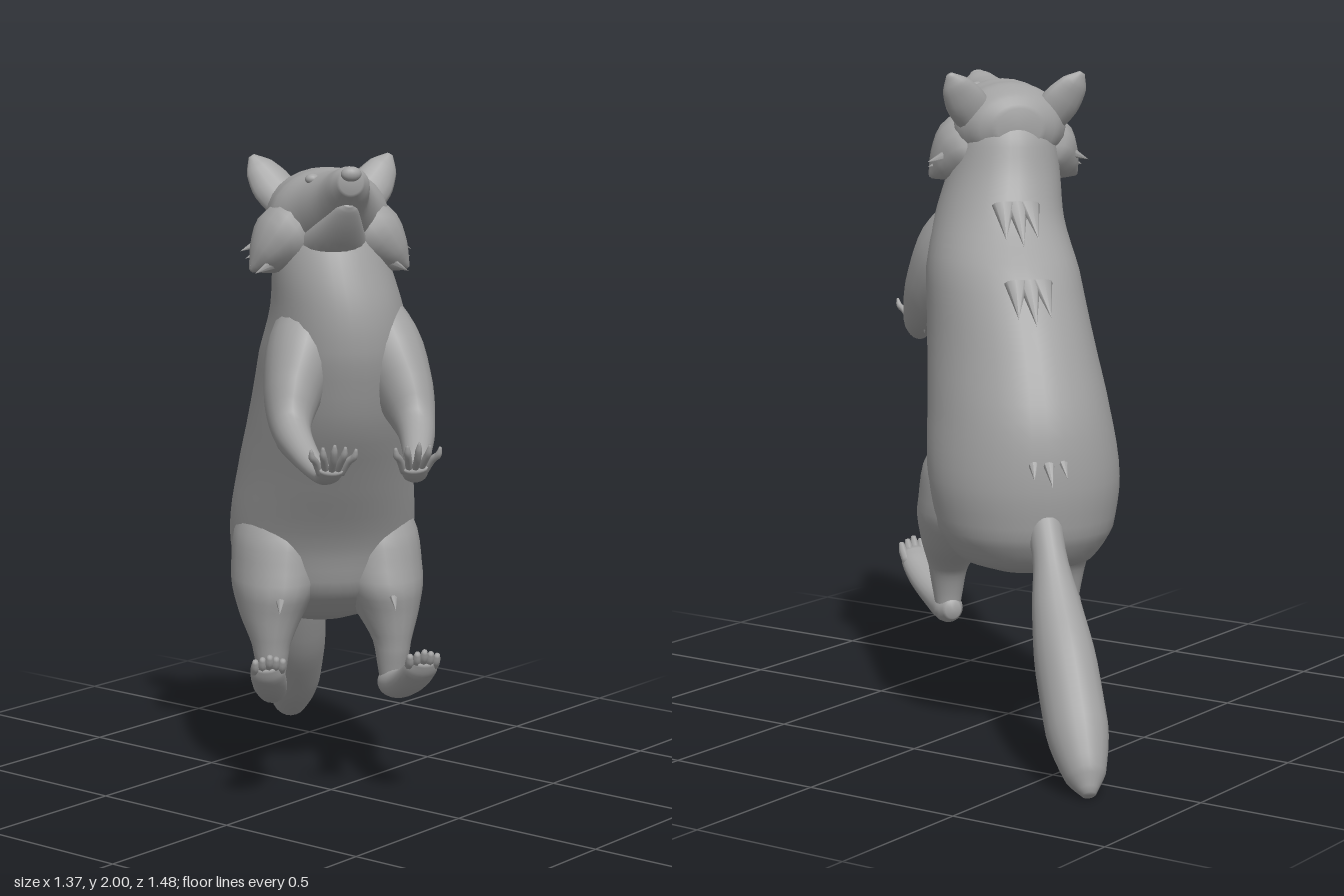
import * as THREE from 'three';

const V = (x, y, z) => new THREE.Vector3(x, y, z);
const fur = new THREE.MeshStandardMaterial({ color: 0xa3a3a3 });
fur.name = 'grey fur';

// Smooth closed loft through rings [x, y, z, half width, half depth].
// With a fixed axis all sections stay parallel; otherwise they follow the path.
function loft(rings, { sides = 20, steps = 4, axis = null } = {}) {
  const path = new THREE.CatmullRomCurve3(rings.map(r => V(r[0], r[1], r[2])));
  const size = new THREE.CatmullRomCurve3(rings.map(r => V(r[3], r[4], 0)));
  const n = (rings.length - 1) * steps;
  const pos = [], index = [];
  for (let i = 0; i <= n; i++) {
    const c = path.getPoint(i / n), r = size.getPoint(i / n);
    const t = axis ? axis.clone().normalize() : path.getTangent(i / n);
    const u = V(1, 0, 0).addScaledVector(t, -t.x).normalize();
    const v = t.clone().cross(u);
    for (let j = 0; j < sides; j++) {
      const a = (j / sides) * Math.PI * 2;
      const p = c.clone()
        .addScaledVector(u, Math.cos(a) * Math.max(r.x, 0.001))
        .addScaledVector(v, Math.sin(a) * Math.max(r.y, 0.001));
      pos.push(p.x, p.y, p.z);
      if (i < n) {
        const k = (j + 1) % sides, o = i * sides;
        index.push(o + j, o + k, o + sides + j, o + k, o + sides + k, o + sides + j);
      }
    }
  }
  // end caps
  const first = rings[0], last = rings[rings.length - 1], o = n * sides, m = pos.length / 3;
  pos.push(first[0], first[1], first[2], last[0], last[1], last[2]);
  for (let j = 0; j < sides; j++) {
    const k = (j + 1) % sides;
    index.push(m, k, j, m + 1, o + j, o + k);
  }
  const g = new THREE.BufferGeometry();
  g.setAttribute('position', new THREE.Float32BufferAttribute(pos, 3));
  g.setIndex(index);
  g.computeVertexNormals();
  return g;
}

function add(parent, name, geometry) {
  const mesh = new THREE.Mesh(geometry, fur);
  mesh.name = name;
  parent.add(mesh);
  return mesh;
}

// Flattened pointed lock of hair from a to b
function tuft(parent, name, a, b, width) {
  const dir = b.clone().sub(a);
  const mesh = add(parent, name, new THREE.ConeGeometry(width, dir.length(), 8));
  mesh.position.copy(a).addScaledVector(dir, 0.5);
  mesh.quaternion.setFromUnitVectors(V(0, 1, 0), dir.normalize());
  mesh.scale.z = 0.5;
}

function ball(parent, name, x, y, z, rx, ry, rz) {
  const mesh = add(parent, name, new THREE.SphereGeometry(1, 16, 12));
  mesh.position.set(x, y, z);
  mesh.scale.set(rx, ry, rz);
}

export function createModel() {
  const model = new THREE.Group();
  model.name = 'standing furry animal';
  const animal = new THREE.Group(); // here +z is the way the animal faces
  animal.name = 'animal';
  animal.rotation.y = -0.734;
  model.add(animal);

  // Leaning torso and neck, built from level sections, widest at the hips
  add(animal, 'torso', loft([
    [0, 0.52, -0.23, 0.1, 0.1], [0, 0.555, -0.23, 0.2, 0.2],
    [0, 0.65, -0.21, 0.268, 0.285], [0, 0.8, -0.195, 0.29, 0.318],
    [0, 1.0, -0.125, 0.272, 0.365], [0, 1.2, -0.018, 0.248, 0.374],
    [0, 1.4, 0.085, 0.23, 0.338], [-0.01, 1.55, 0.17, 0.198, 0.26],
    [-0.03, 1.68, 0.195, 0.175, 0.205], [-0.04, 1.8, 0.19, 0.15, 0.16],
    [-0.04, 1.88, 0.18, 0.1, 0.1],
  ], { sides: 36, axis: V(0, 1, 0) }));

  // Bushy tail
  add(animal, 'tail', loft([
    [0, 0.76, -0.4, 0.06, 0.07], [0, 0.62, -0.51, 0.05, 0.055],
    [0, 0.48, -0.6, 0.072, 0.08], [0, 0.32, -0.72, 0.09, 0.108],
    [0, 0.17, -0.84, 0.09, 0.103], [0, 0.06, -0.935, 0.06, 0.068],
    [0, 0.015, -0.978, 0.02, 0.02],
  ]));

  // Head, carried slightly to one side
  const head = new THREE.Group();
  head.name = 'head';
  head.position.x = -0.045;
  animal.add(head);
  add(head, 'skull and muzzle', loft([
    [0, 1.83, 0.045, 0.07, 0.06], [0, 1.83, 0.085, 0.135, 0.105],
    [0, 1.825, 0.16, 0.175, 0.14], [0, 1.825, 0.25, 0.178, 0.145],
    [0.005, 1.855, 0.33, 0.125, 0.112], [0.015, 1.895, 0.41, 0.078, 0.08],
    [0.025, 1.93, 0.465, 0.06, 0.058], [0.025, 1.945, 0.5, 0.035, 0.036],
  ], { sides: 28, axis: V(0, 0, 1) }));
  add(head, 'lower jaw', loft([
    [0, 1.73, 0.24, 0.13, 0.1], [0.005, 1.77, 0.33, 0.095, 0.065],
    [0.015, 1.825, 0.405, 0.058, 0.04], [0.022, 1.868, 0.452, 0.03, 0.02],
    [0.024, 1.88, 0.465, 0.012, 0.01],
  ]));
  ball(head, 'nose', 0.025, 1.968, 0.5, 0.03, 0.022, 0.02);

  for (const s of [-1, 1]) {
    const side = s > 0 ? 'left' : 'right';
    const P = (x, y, z) => V(s * x, y, z);
    const mirrored = (rings, opts) => loft(rings.map(([x, ...r]) => [s * x, ...r]), opts);

    // Eye, ear and ruffled cheek
    ball(head, side + ' eye', s * 0.064, 1.943, 0.345, 0.022, 0.016, 0.018);
    add(head, side + ' ear', mirrored([
      [0.1, 1.84, 0.15, 0.06, 0.045], [0.15, 1.905, 0.12, 0.064, 0.036],
      [0.188, 1.96, 0.1, 0.045, 0.024], [0.21, 1.995, 0.09, 0.01, 0.007],
    ], { sides: 14 }));
    add(head, side + ' cheek', mirrored([
      [0.03, 1.81, 0.2, 0.09, 0.12], [0.125, 1.765, 0.23, 0.1, 0.125],
      [0.195, 1.705, 0.25, 0.058, 0.075], [0.235, 1.67, 0.26, 0.008, 0.01],
    ], { sides: 14 }));
    for (let i = 0; i < 4; i++) {
      tuft(head, side + ' cheek tuft', P(0.14, 1.77 - i * 0.02, 0.16 + i * 0.04),
        P(0.258 - i * 0.01, 1.72 - i * 0.018, 0.19 + i * 0.04), 0.035);
    }

    // Reaching arm
    add(animal, side + ' arm', mirrored([
      [0.06, 1.54, 0.16, 0.1, 0.13], [0.12, 1.43, 0.25, 0.112, 0.145],
      [0.17, 1.3, 0.345, 0.085, 0.115], [0.185, 1.22, 0.43, 0.058, 0.07],
      [0.165, 1.165, 0.56, 0.042, 0.042], [0.135, 1.13, 0.69, 0.031, 0.027],
      [0.125, 1.135, 0.745, 0.036, 0.022], [0.12, 1.16, 0.78, 0.036, 0.015],
    ]));
    for (let i = 0; i < 5; i++) {
      const k = i - 2, x = 0.12 + k * 0.015, back = Math.abs(k);
      add(animal, side + ' finger', mirrored([
        [x, 1.145, 0.762, 0.011, 0.011],
        [x + k * 0.009, 1.185, 0.808 - back * 0.008, 0.0105, 0.0105],
        [x + k * 0.015, 1.215 - back * 0.008, 0.828 - back * 0.01, 0.01, 0.01],
        [x + k * 0.017, 1.238 - back * 0.008, 0.838 - back * 0.01, 0.004, 0.004],
      ], { sides: 8 }));
    }
    for (let i = 0; i < 3; i++) {
      tuft(animal, side + ' elbow tuft', P(0.18, 1.25, 0.3 + i * 0.05),
        P(0.19, 1.155 + i * 0.005, 0.31 + i * 0.055), 0.035);
    }

    // Thigh and shin
    add(animal, side + ' hind leg', mirrored([
      [0.09, 0.99, -0.16, 0.1, 0.14], [0.145, 0.82, -0.115, 0.143, 0.2],
      [0.162, 0.68, -0.09, 0.14, 0.208], [0.182, 0.57, -0.045, 0.1, 0.148],
      [0.19, 0.48, 0.01, 0.06, 0.075], [0.19, 0.4, 0.018, 0.046, 0.05],
      [0.19, 0.33, 0.015, 0.034, 0.036],
    ], { axis: V(0, -1, 0) }));
    // Raised foot and rounded toes
    add(animal, side + ' foot', mirrored([
      [0.185, 0.352, -0.035, 0.025, 0.028], [0.19, 0.348, 0.02, 0.047, 0.046],
      [0.2, 0.36, 0.1, 0.046, 0.044], [0.22, 0.402, 0.2, 0.052, 0.042],
      [0.235, 0.45, 0.265, 0.052, 0.034], [0.24, 0.48, 0.295, 0.035, 0.018],
    ]));
    for (let i = 0; i < 5; i++) {
      const k = i - 2, x = 0.236 + k * 0.018, back = Math.abs(k) * 0.008;
      add(animal, side + ' toe', mirrored([
        [x, 0.445, 0.25, 0.014, 0.018],
        [x + k * 0.002, 0.49 - back, 0.305 - back, 0.014, 0.017],
        [x + k * 0.003, 0.515 - back, 0.323 - back, 0.008, 0.008],
      ], { sides: 8 }));
    }
    tuft(animal, side + ' thigh tuft', P(0.17, 0.7, 0.08), P(0.18, 0.6, 0.135), 0.035);
  }

  // Locks of hair down the spine, given by their tips
  for (const [y, z] of [[1.49, -0.2], [1.27, -0.36], [0.82, -0.555]]) {
    for (const x of [-0.05, 0, 0.05]) {
      const lift = Math.abs(x) * 0.4;
      tuft(animal, 'back tuft', V(x * 0.8, y + 0.12, z + 0.1), V(x, y + lift, z + lift), 0.035);
    }
  }
  return model;
}
